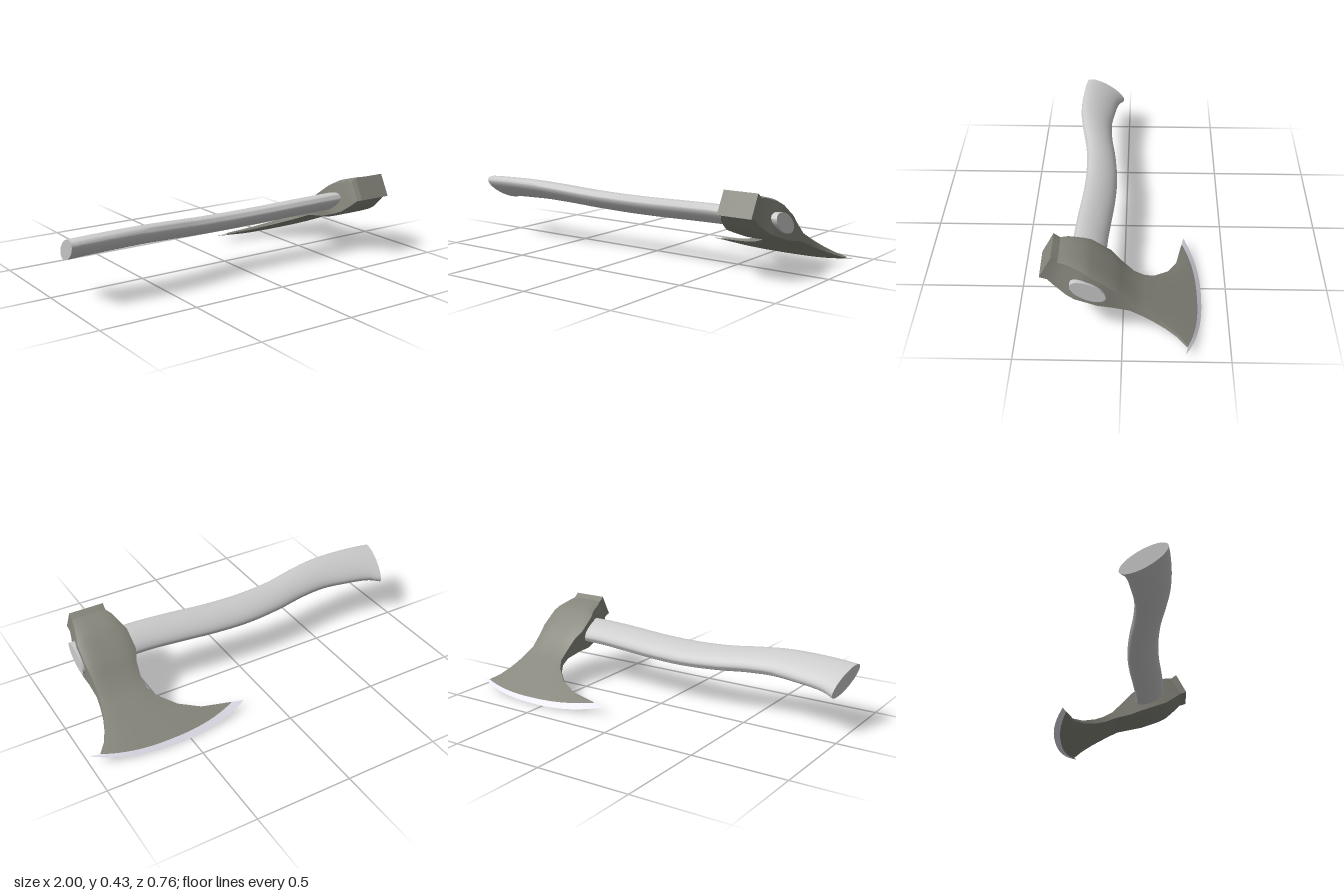
import * as THREE from 'three';
import { toCreasedNormals } from 'three/addons/utils/BufferGeometryUtils.js';

// Skins a row of closed loops, with optional fan caps at either end.
function loft(rings, capStart, capEnd, crease) {
  const n = rings[0].length;
  const points = rings.flat();
  const index = [];
  for (let r = 0; r < rings.length - 1; r++) {
    for (let i = 0; i < n; i++) {
      const j = (i + 1) % n;
      const a = r * n + i, b = r * n + j, c = a + n, d = b + n;
      index.push(a, b, d, a, d, c);
    }
  }
  const cap = (r, flip) => {
    const centre = new THREE.Vector3();
    rings[r].forEach((p) => centre.addScaledVector(p, 1 / n));
    const k = points.push(centre) - 1;
    for (let i = 0; i < n; i++) {
      const a = r * n + i, b = r * n + ((i + 1) % n);
      index.push(k, flip ? b : a, flip ? a : b);
    }
  };
  if (capStart) cap(0, true);
  if (capEnd) cap(rings.length - 1, false);
  const geometry = new THREE.BufferGeometry().setFromPoints(points);
  geometry.setIndex(index);
  return toCreasedNormals(geometry, crease);
}

// One slice of the head: flat-crowned on both cheeks, bowed towards the edge.
function headSlice([xL, zL, xR, zR, zMid, tMid, tSide]) {
  const columns = 24;
  const top = [];
  for (let i = 0; i <= columns; i++) {
    const u = i / columns;
    const e = Math.abs(2 * u - 1);
    const z = THREE.MathUtils.lerp(zL, zR, u) + (zMid - (zL + zR) / 2) * (1 - e ** 2.4);
    const t = tSide + (tMid - tSide) * (1 - e ** 4);
    top.push(new THREE.Vector3(THREE.MathUtils.lerp(xL, xR, u), t, z));
  }
  const bottom = top.map((p) => new THREE.Vector3(p.x, -p.y, p.z)).reverse();
  return [...top, ...bottom];
}

function mesh(name, geometry, color) {
  const m = new THREE.Mesh(geometry, new THREE.MeshStandardMaterial({ color }));
  m.name = name;
  return m;
}

// Oval handle following a gentle S, flared and cut at a slant at the grip end.
function createHandle() {
  // centre x, sideways offset, half width
  const path = new THREE.CatmullRomCurve3([
    [-0.978, -0.017, 0.122], [-0.9, 0.003, 0.112], [-0.75, 0.02, 0.104],
    [-0.6, 0.026, 0.094], [-0.45, 0.01, 0.088], [-0.3, -0.015, 0.086],
    [-0.1, -0.03, 0.088], [0.1, -0.025, 0.088], [0.3, -0.008, 0.088],
    [0.5, 0.005, 0.087], [0.85, 0, 0.09],
  ].map((p) => new THREE.Vector3(...p)));
  const rings = path.getPoints(50).map((p) => {
    const slant = 0.187 * Math.max(0, (-0.8 - p.x) / 0.178);
    return Array.from({ length: 32 }, (_, i) => {
      const a = (i / 32) * Math.PI * 2;
      const z = p.y + p.z * Math.sin(a);
      return new THREE.Vector3(p.x - slant * z, 0.043 * Math.cos(a), z);
    });
  });
  return mesh('handle', loft(rings, true, true, 0.8), 0xcccccc);
}

export function createModel() {
  const model = new THREE.Group();
  model.name = 'axe';

  // Slices from the poll to the bevel: xL, zL, xR, zR, zMid, tMid, tSide
  const straight = (z, xL, xR, tMid, tSide) => [xL, z, xR, z, z, tMid, tSide];
  const bevelStart = [0.217, -0.503, 0.944, -0.515, -0.572, 0.01, 0.004];
  const slices = [
    straight(0.217, 0.617, 0.8, 0.062, 0.062),
    straight(0.18, 0.617, 0.8, 0.059, 0.055),
    straight(0.144, 0.6, 0.806, 0.075, 0.066),
    straight(0.072, 0.583, 0.825, 0.092, 0.078),
    straight(0.03, 0.568, 0.836, 0.088, 0.076),
    straight(-0.08, 0.566, 0.838, 0.073, 0.06),
    straight(-0.14, 0.588, 0.832, 0.053, 0.045),
    straight(-0.225, 0.597, 0.832, 0.025, 0.021),
    straight(-0.285, 0.59, 0.84, 0.021, 0.017),
    [0.56, -0.338, 0.852, -0.345, -0.36, 0.018, 0.014],
    [0.484, -0.413, 0.872, -0.405, -0.44, 0.015, 0.01],
    [0.377, -0.47, 0.9, -0.463, -0.505, 0.013, 0.007],
    bevelStart,
  ];
  const edge = [0.153, -0.515, 0.999, -0.503, -0.602, 0, 0];

  // Head and handle share a frame that tips the blade down to the ground
  const tilted = new THREE.Group();
  tilted.name = 'tiltedAxe';
  tilted.position.set(0, 0.275, 0.157);
  tilted.rotation.x = -0.477;
  tilted.add(
    createHandle(),
    mesh('head', loft(slices.map(headSlice), true, false, 0.4), 0x87877d),
    mesh('cuttingEdge', loft([bevelStart, edge].map(headSlice), false, false, 0.4), 0xe8e6f2),
  );
  model.add(tilted);
  return model;
}
